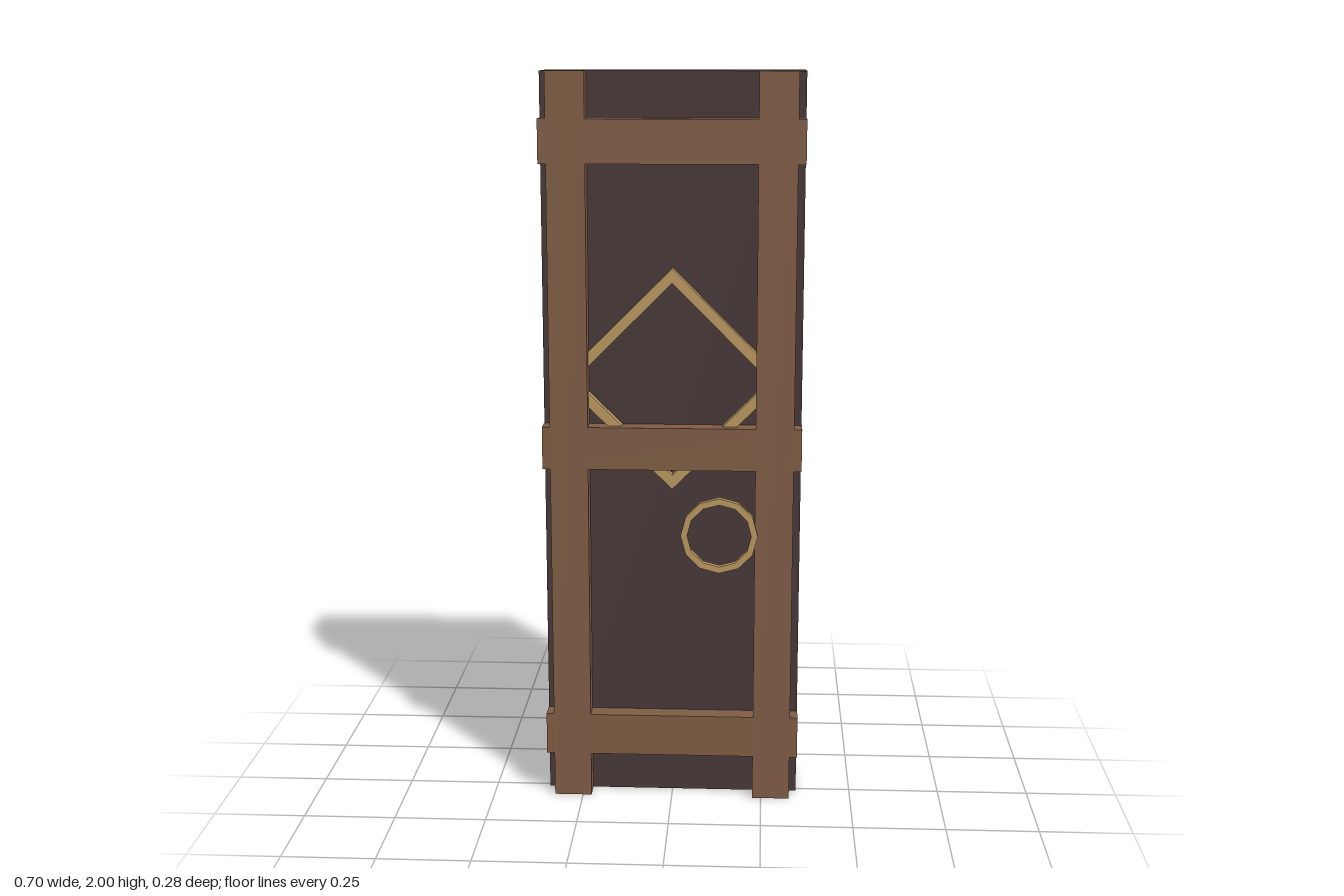
import * as THREE from 'three';

const material = (name, color) => {
  const m = new THREE.MeshStandardMaterial({ color });
  m.name = name;
  return m;
};

export function createModel() {
  const door = new THREE.Group();
  door.name = 'door';
  const darkWood = material('dark wood', 0x463636);
  const timber = material('brown timber', 0x7e5c44);
  const brass = material('brass', 0xb8965f);

  // Box given by its extents on each axis
  function box(name, mat, [x0, x1], [y0, y1], [z0, z1]) {
    const mesh = new THREE.Mesh(new THREE.BoxGeometry(x1 - x0, y1 - y0, z1 - z0), mat);
    mesh.position.set((x0 + x1) / 2, (y0 + y1) / 2, (z0 + z1) / 2);
    mesh.name = name;
    door.add(mesh);
  }

  // Flat polygonal frame with a matching hole, extruded along z
  function polygonRing(name, sides, outer, inner, depth, x, y, z) {
    const corners = (r) => Array.from({ length: sides }, (_, i) => {
      const a = (i / sides) * Math.PI * 2;
      return new THREE.Vector2(r * Math.cos(a), r * Math.sin(a));
    });
    const shape = new THREE.Shape(corners(outer));
    shape.holes.push(new THREE.Path(corners(inner).reverse()));
    const geometry = new THREE.ExtrudeGeometry(shape, { depth, bevelEnabled: false });
    const mesh = new THREE.Mesh(geometry, brass);
    mesh.position.set(x, y, z);
    mesh.name = name;
    door.add(mesh);
  }

  // Door slab, a hair smaller than the timbers so their ends stay visible
  box('slab', darkWood, [-0.349, 0.349], [0.001, 1.999], [-0.143, 0.017]);

  // Upright timbers
  box('rightStile', timber, [-0.329, -0.226], [0, 2], [0.006, 0.07]);
  box('leftStile', timber, [0.226, 0.329], [0, 2], [0.006, 0.07]);

  // Cross timbers
  [['bottomRail', 0.182], ['middleRail', 1.002], ['topRail', 1.82]].forEach(([name, y]) =>
    box(name, timber, [-0.35, 0.35], [y - 0.058, y + 0.058], [0.006, 0.07]));

  // Diamond ornament, tucked behind the timbers
  polygonRing('diamondOrnament', 4, 0.301, 0.262, 0.028, 0, 1.186, 0.016);

  // Ring handle, standing in front of the door
  polygonRing('ringHandle', 12, 0.1035, 0.086, 0.018, 0.131, 0.782, 0.124);

  return door;
}
